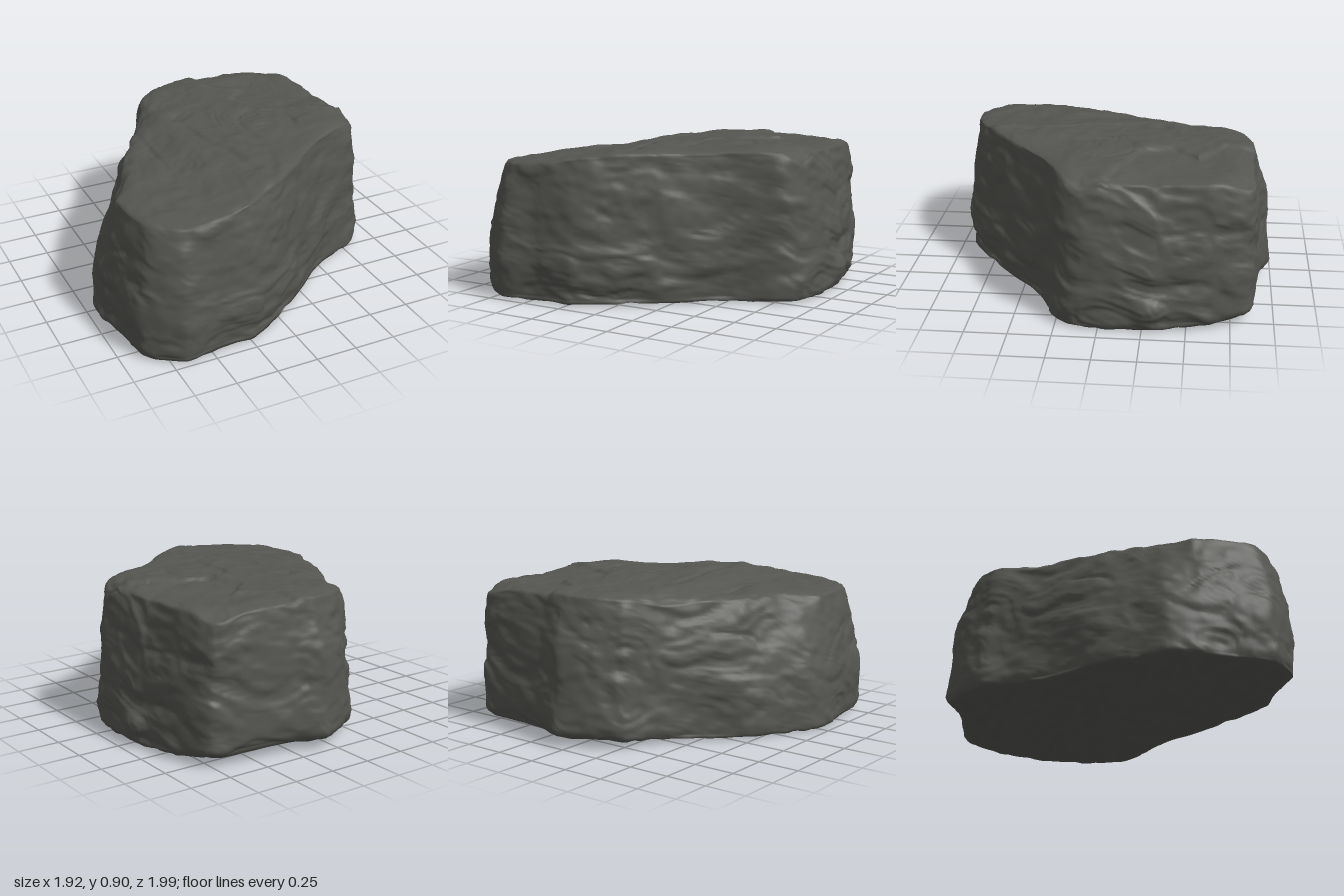
import * as THREE from 'three';

// Plan outlines (x, z), clockwise from the back: widest girth and upper rim
const GIRTH = [[.07, -.99], [.25, -.94], [.6, -.91], [.78, -.86], [.86, -.65], [.9, -.4], [.92, -.31],
  [.92, -.15], [.91, .1], [.82, .23], [.5, .4], [.2, .65], [0, .8], [-.22, .93], [-.45, .94],
  [-.68, .98], [-.87, .83], [-.91, .6], [-.94, .4], [-.94, .2], [-.82, 0], [-.72, -.18],
  [-.5, -.42], [-.33, -.65], [-.27, -.8], [-.1, -.92]];
const RIM = [[.1, -.87], [.25, -.86], [.6, -.87], [.73, -.85], [.79, -.65], [.81, -.4], [.82, -.3],
  [.83, -.12], [.84, .08], [.76, .2], [.46, .37], [.17, .6], [-.02, .73], [-.23, .85], [-.45, .88],
  [-.63, .88], [-.78, .74], [-.83, .55], [-.83, .38], [-.74, .2], [-.64, .02], [-.56, -.15],
  [-.42, -.38], [-.3, -.58], [-.22, -.74], [-.05, -.84]];

// Top height by x, then knocked-off spots on the top: x, z, radius, depth
const HEIGHTS = [[-1, .8], [-.8, .82], [-.6, .83], [-.4, .845], [-.25, .875], [0, .895], [1, .905]];
const CHIPS = [[.73, -.86, .2, .045], [.84, .1, .18, .05], [-.36, -.52, .25, .03],
  [-.15, -.32, .1, .02], [-.72, .13, .08, .03], [-.86, .2, .16, .04]];
// Border of the shallow shelf at the back corner (x by z)
const SHELF = [[-.9, .2], [-.7, .21], [-.55, .42], [-.4, .27], [-.2, .33], [-.1, .6], [0, .95]];

const SEG = 240;
const RIM_DROP = 0.022;
const { lerp, smoothstep, clamp } = THREE.MathUtils;

// Seeded 3D value noise in the range -1..1
function hash(x, y, z) {
  let h = Math.imul(x, 374761393) ^ Math.imul(y, 668265263) ^ Math.imul(z, 2147424976);
  h = Math.imul(h ^ (h >>> 13), 1274126177);
  return ((h ^ (h >>> 16)) >>> 0) / 2147483648 - 1;
}

function noise(x, y, z) {
  const X = Math.floor(x), Y = Math.floor(y), Z = Math.floor(z);
  const u = smoothstep(x - X, 0, 1), v = smoothstep(y - Y, 0, 1), w = smoothstep(z - Z, 0, 1);
  const edge = (j, k) => lerp(hash(X, Y + j, Z + k), hash(X + 1, Y + j, Z + k), u);
  return lerp(lerp(edge(0, 0), edge(1, 0), v), lerp(edge(0, 1), edge(1, 1), v), w);
}

// Stepped noise gives chipped ledges
function ledges(x, y, z, steps) {
  const n = noise(x, y, z) * steps, f = Math.floor(n);
  return (f + smoothstep(n - f, 0.3, 0.7)) / steps;
}

// Straight-line lookup in a list of [key, value]
function lookup(table, key) {
  let i = 0;
  while (i < table.length - 2 && key > table[i + 1][0]) i++;
  const [a, b] = [table[i], table[i + 1]];
  return lerp(a[1], b[1], clamp((key - a[0]) / (b[0] - a[0]), 0, 1));
}

function topHeight(x, z) {
  let y = lookup(HEIGHTS, x);
  for (const [cx, cz, radius, depth] of CHIPS) {
    y -= depth * (1 - smoothstep(Math.hypot(x - cx, z - cz), 0, radius));
  }
  const border = lookup(SHELF, z) + 0.04 * noise(x * 6, 3, z * 6);
  return y - 0.022 * smoothstep(x, border - 0.02, border + 0.03);
}

const bottomHeight = (z) => 0.02 + 0.045 * smoothstep(-z, 0.3, 1);

function sampleOutline(points) {
  const curve = new THREE.CatmullRomCurve3(
    points.map(([x, z]) => new THREE.Vector3(x, 0, z)), true, 'catmullrom', 0.35);
  return Array.from({ length: SEG }, (_, i) => curve.getPoint(i / SEG));
}

// Closed body made from rings: underside, wall, then top, with a centre point at each end
function baseShape() {
  const girth = sampleOutline(GIRTH), rim = sampleOutline(RIM);
  const UNDER = 30, WALL = 64, TOP = 60;
  const rings = [];
  const tuckAt = (z) => 0.015 + 0.02 * smoothstep(-z, 0.5, 1);
  for (let j = 1; j < UNDER; j++) {
    rings.push(girth.map((p) => {
      const s = (1 - tuckAt(p.z)) * j / UNDER;
      return [p.x * s, bottomHeight(p.z * s), p.z * s];
    }));
  }
  for (let j = 0; j <= WALL; j++) {
    const t = j / WALL, lean = Math.pow(t, 2.3);
    rings.push(girth.map((p, i) => {
      const r = rim[i];
      const tuck = 1 - tuckAt(p.z) * Math.pow(1 - Math.min(t / 0.08, 1), 2);
      return [lerp(p.x, r.x, lean) * tuck,
        lerp(bottomHeight(p.z), topHeight(r.x, r.z) - RIM_DROP, t),
        lerp(p.z, r.z, lean) * tuck];
    }));
  }
  for (let j = 1; j < TOP; j++) {
    const s = 1 - j / TOP;
    rings.push(rim.map((p) => {
      const x = p.x * s, z = p.z * s;
      return [x, topHeight(x, z) - RIM_DROP * Math.pow(s, 16), z];
    }));
  }
  const last = (rings.length - 1) * SEG, lower = rings.length * SEG, upper = lower + 1;
  const index = [];
  for (let i = 0; i < SEG; i++) {
    const k = (i + 1) % SEG;
    index.push(lower, i, k, last + i, upper, last + k);
    for (let row = 0; row < last; row += SEG) {
      const a = row + i, b = row + k, c = b + SEG, d = a + SEG;
      index.push(a, d, c, a, c, b);
    }
  }
  const points = [...rings.flat(2), 0, bottomHeight(0), 0, 0, topHeight(0, 0), 0];
  const geometry = new THREE.BufferGeometry();
  geometry.setAttribute('position', new THREE.Float32BufferAttribute(points, 3));
  geometry.setIndex(index);
  return geometry;
}

// Push the surface in and out to carve strata, chips and small cracks
function weather(geometry) {
  geometry.computeVertexNormals();
  const pos = geometry.attributes.position, nor = geometry.attributes.normal;
  const p = new THREE.Vector3(), n = new THREE.Vector3();
  for (let i = 0; i < pos.count; i++) {
    p.fromBufferAttribute(pos, i);
    n.fromBufferAttribute(nor, i);
    const { x, y, z } = p;
    const side = 1 - Math.abs(n.y);
    const warp = 0.25 * noise(x * 2.5, y * 2.5, z * 2.5);
    let d = 0.012 * noise(x * 3 + 7, y * 3, z * 3);
    d += (0.009 + 0.012 * side) * ledges(x * 4 + warp, y * 7 + warp * 4, z * 4, 2);
    d += 0.01 * ledges(x * 8 + 20, y * 13 + warp * 6, z * 8, 2);
    d += 0.005 * noise(x * 16, y * 22, z * 16);
    const crack = Math.abs(noise(x * 3.2 + 31, y * 4, z * 3.2 + warp * 3));
    d -= 0.014 * (1 - smoothstep(crack, 0, 0.08)) * smoothstep(noise(x * 2, y * 2, z * 2 + 9), 0, 0.4);
    if (n.y < -0.7) d = 0.3 * d + 0.006 * noise(x * 12, 5, z * 22);
    // small spur low on the left side
    const spur = Math.hypot(x - 0.92, (y - 0.13) * 1.5, z + 0.32);
    d += 0.035 * (1 - smoothstep(spur, 0, 0.16));
    p.addScaledVector(n, d);
    pos.setXYZ(i, p.x, p.y, p.z);
  }
  // centre on the ground
  geometry.computeBoundingBox();
  const box = geometry.boundingBox, mid = box.getCenter(new THREE.Vector3());
  geometry.translate(-mid.x, -box.min.y, -mid.z);
  geometry.computeVertexNormals();
  return geometry;
}

export function createModel() {
  const stone = new THREE.MeshStandardMaterial({ color: 0x555651 });
  stone.name = 'dark grey stone';
  const boulder = new THREE.Mesh(weather(baseShape()), stone);
  boulder.name = 'boulder';
  const group = new THREE.Group();
  group.name = 'rock';
  group.add(boulder);
  return group;
}
